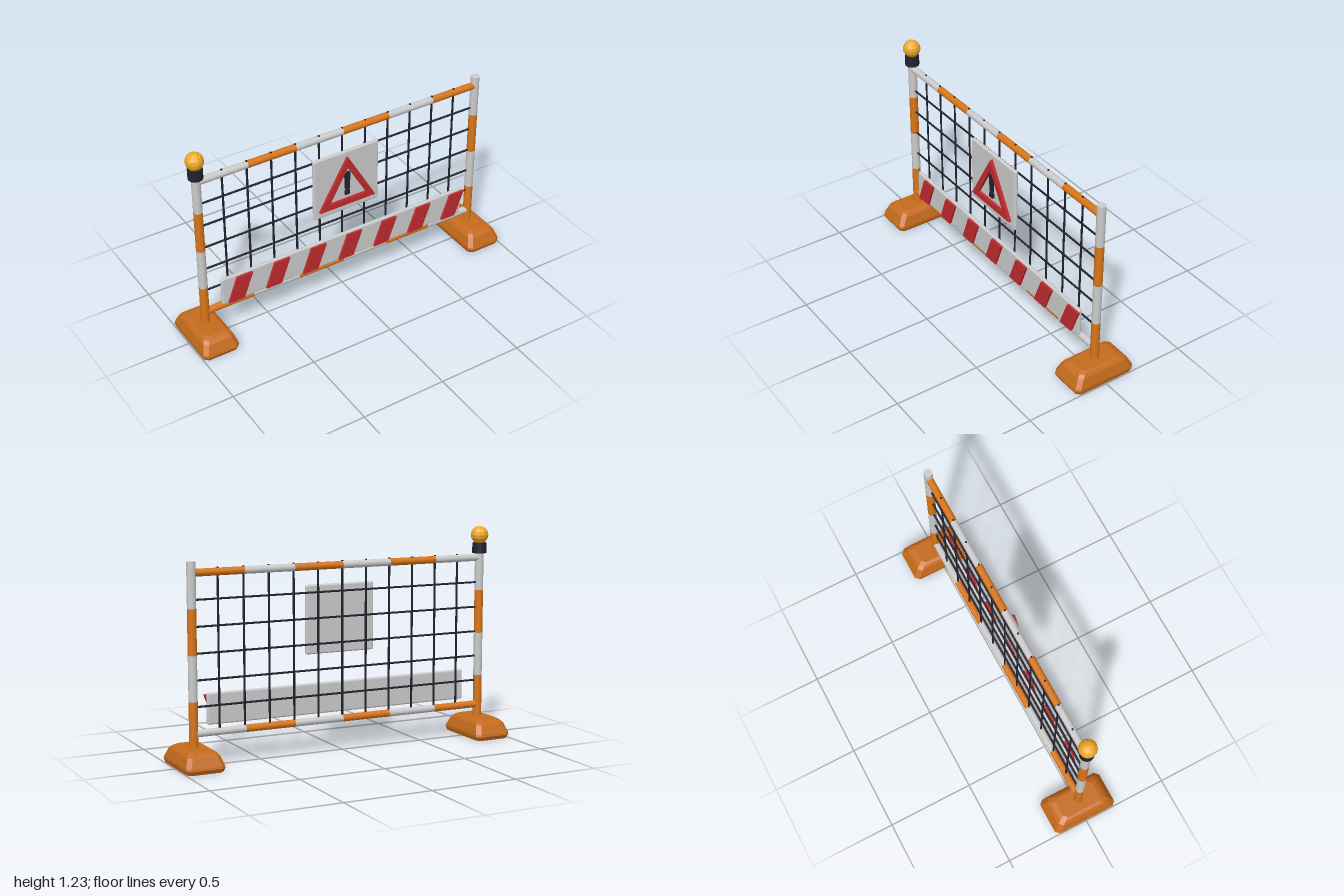
import * as THREE from 'three';
import { RoundedBoxGeometry } from 'three/addons/geometries/RoundedBoxGeometry.js';

const mat = (color, flatShading = false) => new THREE.MeshStandardMaterial({ color, flatShading });
const white = mat(0xcccccc), orange = mat(0xd8761a), footOrange = mat(0xc46a1c, true);
const dark = mat(0x23212e), red = mat(0xbf2a2e), amber = mat(0xf0a826, true);

const POST_X = 0.89, RAIL_LOW = 0.18, RAIL_HIGH = 1.045;

function add(parent, name, geometry, material, x = 0, y = 0, z = 0) {
  const mesh = new THREE.Mesh(geometry, material);
  mesh.name = name;
  mesh.position.set(x, y, z);
  parent.add(mesh);
  return mesh;
}

// Tube of equal bands in alternating colours, running up from the origin
function bandedTube(name, radius, length, bands, colors) {
  const group = new THREE.Group();
  group.name = name;
  const h = length / bands;
  for (let i = 0; i < bands; i++) {
    add(group, name + 'Band', new THREE.CylinderGeometry(radius, radius, h, 12), colors[i % 2], 0, (i + 0.5) * h);
  }
  return group;
}

// Extruded flat plate from point pairs, with an optional hole
function plate(points, depth, hole) {
  const toVec = (p) => new THREE.Vector2(p[0], p[1]);
  const shape = new THREE.Shape(points.map(toVec));
  if (hole) shape.holes.push(new THREE.Path(hole.map(toVec)));
  return new THREE.ExtrudeGeometry(shape, { depth, bevelEnabled: false });
}

// Block foot lofted from rectangles with cut corners
function footGeometry() {
  const levels = [[0, 0.104, 0.183], [0.022, 0.11, 0.194], [0.035, 0.109, 0.19],
    [0.085, 0.092, 0.163], [0.1, 0.08, 0.145], [0.11, 0.064, 0.122]]; // y, half x, half z
  const pos = [], idx = [], n = 8, c = 0.022;
  for (const [y, a, b] of levels) {
    const ring = [[a, b - c], [a - c, b], [c - a, b], [-a, b - c], [-a, c - b], [c - a, -b], [a - c, -b], [a, c - b]];
    for (const [x, z] of ring) pos.push(x, y, z);
  }
  for (let l = 0; l < levels.length - 1; l++) {
    for (let i = 0; i < n; i++) {
      const p = l * n + i, q = l * n + (i + 1) % n;
      idx.push(p, p + n, q, q, p + n, q + n);
    }
  }
  const top = (levels.length - 1) * n;
  for (let i = 1; i < n - 1; i++) {
    idx.push(0, i, i + 1);
    idx.push(top, top + i + 1, top + i);
  }
  const g = new THREE.BufferGeometry();
  g.setAttribute('position', new THREE.Float32BufferAttribute(pos, 3));
  g.setIndex(idx);
  g.computeVertexNormals();
  return g;
}

export function createModel() {
  const model = new THREE.Group();
  model.name = 'roadBarrier';

  // Feet and posts
  const foot = footGeometry();
  for (const [side, x] of [['left', POST_X], ['right', -POST_X]]) {
    add(model, side + 'Foot', foot, footOrange, x);
    const post = bandedTube(side + 'Post', 0.025, 1.0, 4, [orange, white]);
    post.position.set(x, 0.105, 0);
    model.add(post);
  }

  // Horizontal rails
  for (const [name, y, colors] of [['topRail', RAIL_HIGH, [white, orange]], ['bottomRail', RAIL_LOW, [orange, white]]]) {
    const rail = bandedTube(name, 0.021, 2 * POST_X - 0.01, 6, colors);
    rail.rotation.z = -Math.PI / 2;
    rail.position.set(-POST_X + 0.005, y, 0);
    model.add(rail);
  }

  // Wire mesh
  const mesh = new THREE.Group();
  mesh.name = 'wireMesh';
  model.add(mesh);
  const upright = new THREE.CylinderGeometry(0.006, 0.006, 0.91, 6);
  for (let i = -5; i <= 5; i++) add(mesh, 'verticalWire', upright, dark, i * 0.148, 0.615);
  const across = new THREE.CylinderGeometry(0.006, 0.006, 2 * POST_X, 6).rotateZ(Math.PI / 2);
  for (let i = 1; i <= 5; i++) {
    add(mesh, 'horizontalWire', across, dark, 0, RAIL_LOW + i * (RAIL_HIGH - RAIL_LOW) / 6);
  }

  // Striped board
  const board = new THREE.Group();
  board.name = 'stripedBoard';
  model.add(board);
  add(board, 'boardPanel', new RoundedBoxGeometry(1.6, 0.175, 0.024, 2, 0.01), white, 0, 0.301, 0.034);
  const stripe = plate([[-0.077, -0.077], [0.019, -0.077], [0.077, 0.077], [-0.019, 0.077]], 0.016);
  for (let i = 0; i < 7; i++) add(board, 'stripe', stripe, red, -0.69 + i * 0.237, 0.3, 0.044);

  // Warning sign
  const sign = new THREE.Group();
  sign.name = 'warningSign';
  model.add(sign);
  add(sign, 'signPanel', new RoundedBoxGeometry(0.42, 0.388, 0.024, 2, 0.01), white, 0, 0.746, 0.034);
  add(sign, 'warningTriangle', plate([[-0.18, 0.6], [0.18, 0.6], [0, 0.91]], 0.02,
    [[-0.122, 0.634], [0, 0.844], [0.122, 0.634]]), red, 0, 0, 0.044);
  add(sign, 'exclamationBar', plate([[-0.012, 0.697], [0.012, 0.697], [0.017, 0.808], [-0.017, 0.808]], 0.016),
    dark, 0, 0, 0.044);
  add(sign, 'exclamationDot', new THREE.BoxGeometry(0.03, 0.026, 0.016), dark, 0, 0.675, 0.052);

  // Warning lamp on the right post
  add(model, 'lampSocket', new THREE.CylinderGeometry(0.041, 0.041, 0.06, 12), dark, -POST_X, 1.1);
  add(model, 'lampBulb', new THREE.SphereGeometry(0.051, 12, 8), amber, -POST_X, 1.175);
  return model;
}
